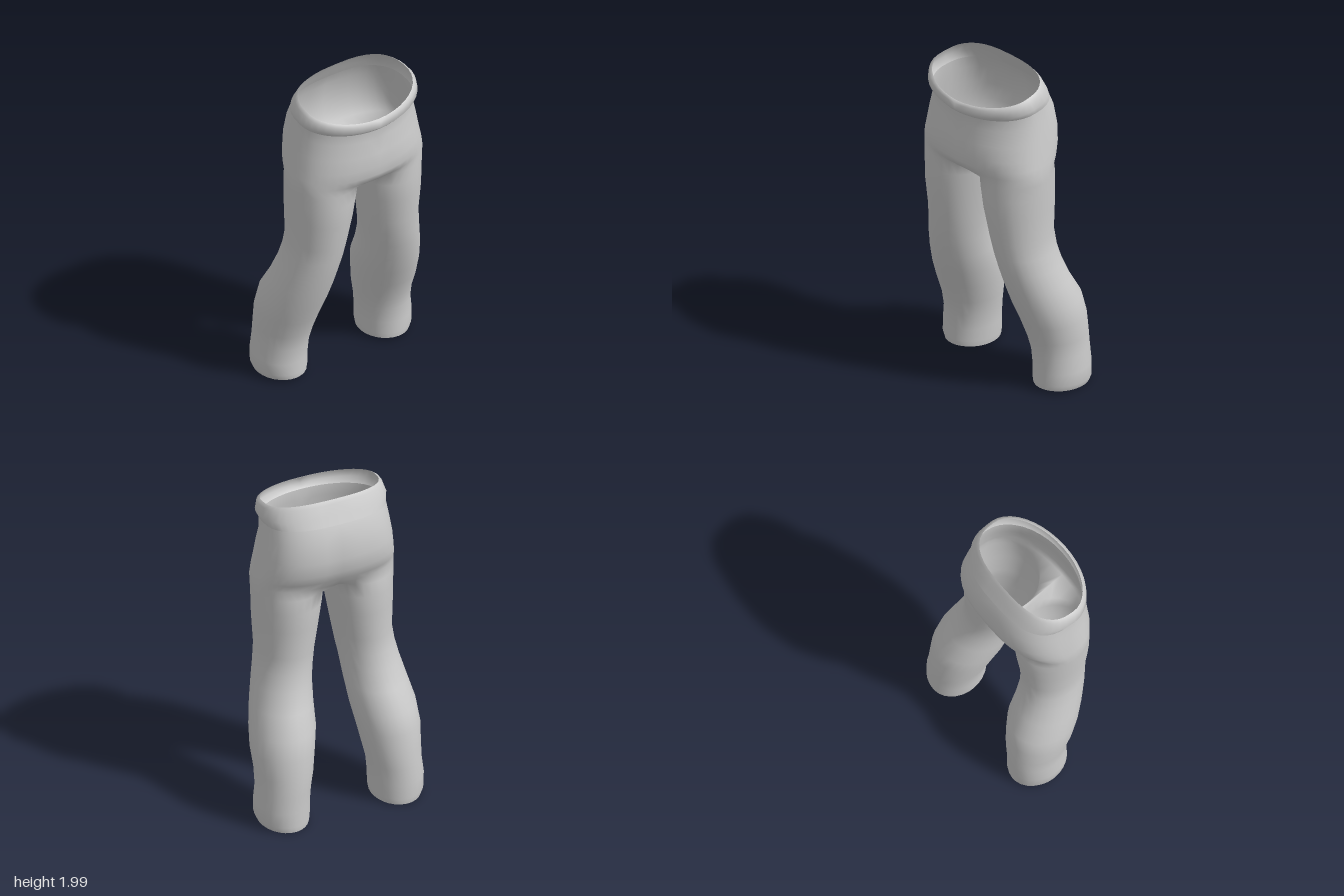
import * as THREE from 'three';
import { mergeGeometries, mergeVertices } from 'three/addons/utils/BufferGeometryUtils.js';

const OUTER = 20; // segments around the outside, front centre to back centre
const INNER = 8;  // segments around the inside of a leg

// Hip sections: front y, back y, half width, front z, back z, front squareness
const HIPS = [
  [1.89, 2.0, 0.345, 0.32, -0.115, 2],
  [1.88, 1.98, 0.365, 0.338, -0.13, 2],
  [1.84, 1.92, 0.38, 0.338, -0.16, 2],
  [1.815, 1.87, 0.365, 0.316, -0.185, 2],
  [1.75, 1.79, 0.372, 0.312, -0.22, 2.05],
  [1.66, 1.67, 0.39, 0.33, -0.238, 2.1],
  [1.57, 1.58, 0.402, 0.332, -0.228, 2.2],
  [1.51, 1.52, 0.412, 0.328, -0.205, 2.25],
  [1.465, 1.465, 0.418, 0.312, -0.17, 2.3],
];
const BAND_ROWS = 4;

// Leg sections: y, inner x, outer x, back z, front z
const LEG = [
  [1.41, 0.01, 0.42, -0.162, 0.275],
  [1.32, 0.023, 0.416, -0.165, 0.274],
  [1.2, 0.043, 0.413, -0.162, 0.268],
  [1.02, 0.073, 0.406, -0.15, 0.24],
  [0.92, 0.088, 0.418, -0.158, 0.224],
  [0.82, 0.103, 0.438, -0.18, 0.203],
  [0.7, 0.113, 0.466, -0.225, 0.17],
  [0.57, 0.124, 0.494, -0.293, 0.128],
  [0.45, 0.145, 0.505, -0.316, 0.08],
  [0.33, 0.166, 0.497, -0.33, 0.036],
  [0.23, 0.187, 0.496, -0.335, 0.014],
  [0.13, 0.195, 0.508, -0.337, 0.01],
  [0.05, 0.197, 0.505, -0.341, 0.014],
  [0.015, 0.203, 0.49, -0.336, 0.01],
];

// Half section of the hips: rounded front, flatter back
function hipRow([yF, yB, w, zF, zB, nFront]) {
  const row = [];
  const cz = (zF + zB) / 2, rz = (zF - zB) / 2;
  for (let i = 0; i <= OUTER; i++) {
    const a = Math.PI * i / OUTER;
    const c = Math.cos(a), s = Math.max(0, Math.sin(a));
    const p = 2 / (c >= 0 ? nFront : 2.7);
    const x = i % OUTER === 0 ? 0 : w * Math.pow(s, p);
    const y = yF + (yB - yF) * Math.pow((1 - c) / 2, 0.8);
    row.push([x, y, cz + rz * Math.sign(c) * Math.pow(Math.abs(c), p)]);
  }
  return row;
}

// Full section of a leg; its first points line up with the hip section
function legRow([y, x0, x1, z0, z1]) {
  const row = [];
  const start = -40, sweep = 262;
  for (let i = 0; i < OUTER + INNER; i++) {
    const deg = i <= OUTER ? start + sweep * i / OUTER
      : start + sweep + (360 - sweep) * (i - OUTER) / INNER;
    const a = THREE.MathUtils.degToRad(deg);
    const tilt = y < 0.1 ? 0.01 * Math.cos(a) : 0;
    row.push([(x0 + x1) / 2 + (x1 - x0) / 2 * Math.sin(a), y + tilt,
      (z0 + z1) / 2 + (z1 - z0) / 2 * Math.cos(a)]);
  }
  return row;
}

// Skin rows of points, listed from top to bottom; flip mirrors to the other side
function skin(rows, closed, flip) {
  const n = rows[0].length, cols = closed ? n : n - 1, index = [];
  for (let r = 0; r < rows.length - 1; r++) {
    for (let i = 0; i < cols; i++) {
      const j = (i + 1) % n;
      const a = r * n + i, b = r * n + j, c = a + n, d = b + n;
      if (flip) index.push(a, b, c, b, d, c);
      else index.push(a, c, b, b, c, d);
    }
  }
  const pos = rows.flat().flatMap(([x, y, z]) => [flip ? -x : x, y, z]);
  const g = new THREE.BufferGeometry();
  g.setAttribute('position', new THREE.Float32BufferAttribute(pos, 3));
  g.setIndex(index);
  return g;
}

// Join pieces into one smooth surface
function smoothMesh(name, pieces, material) {
  const g = mergeVertices(mergeGeometries(pieces), 1e-4);
  g.computeVertexNormals();
  const mesh = new THREE.Mesh(g, material);
  mesh.name = name;
  return mesh;
}

export function createModel() {
  const group = new THREE.Group();
  group.name = 'trousers';
  const cloth = new THREE.MeshStandardMaterial({ color: 0xcccccc, side: THREE.DoubleSide });
  const hips = HIPS.map(hipRow);

  // Crotch seam closes the lowest hip section into the top of each leg
  const top = hips[hips.length - 1].slice();
  const front = top[0], back = top[OUTER];
  for (let k = 1; k < INNER; k++) {
    const t = k / INNER;
    top.push([0, front[1] - 0.022 * Math.sin(Math.PI * t),
      back[2] + (front[2] - back[2]) * t]);
  }
  const legs = [top, ...LEG.map(legRow)];

  const sides = [false, true];
  group.add(smoothMesh('waistband',
    sides.map((f) => skin(hips.slice(0, BAND_ROWS), false, f)), cloth));
  group.add(smoothMesh('seatAndLegs', sides.flatMap((f) => [
    skin(hips.slice(BAND_ROWS - 1), false, f),
    skin(legs, true, f),
  ]), cloth));
  return group;
}
